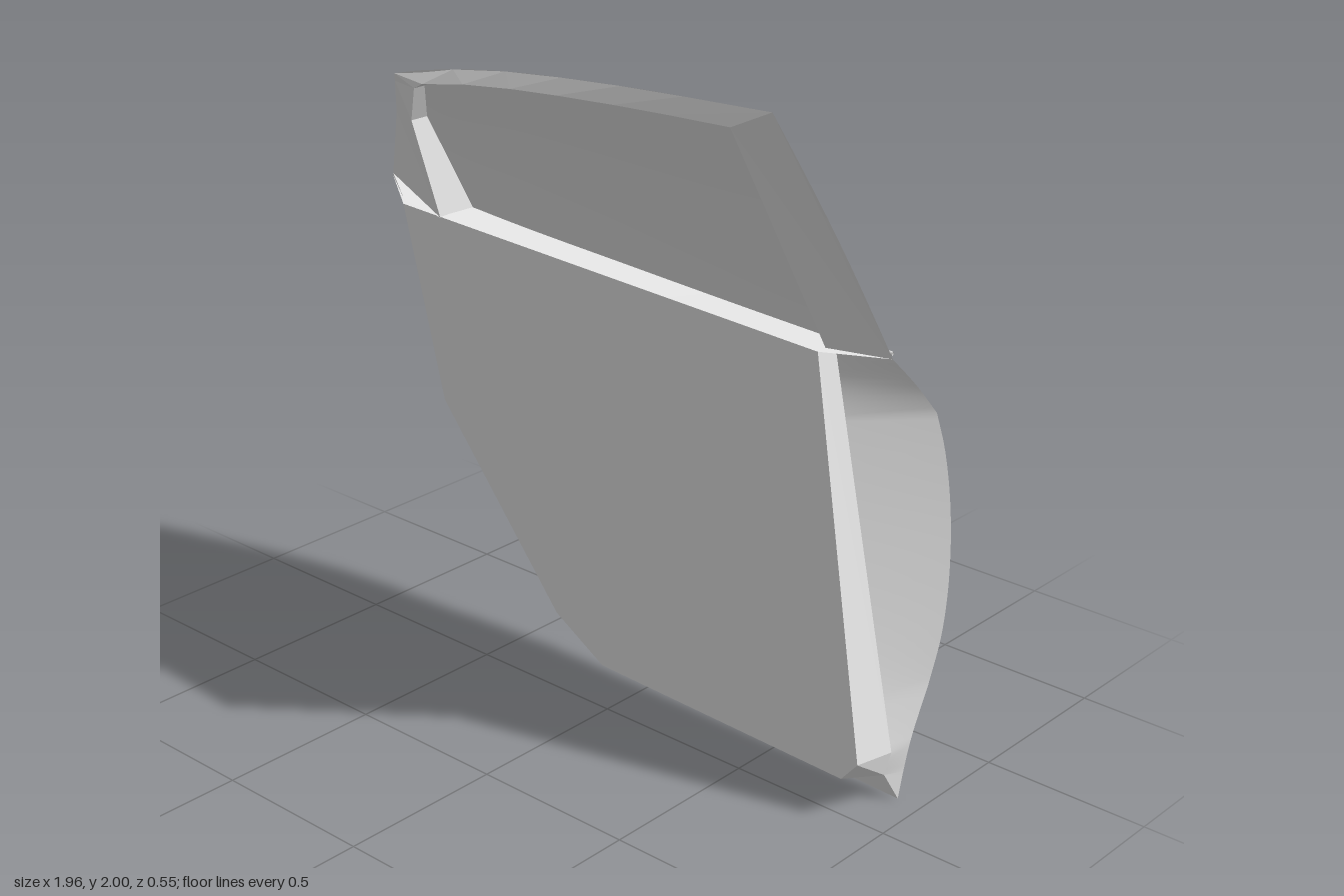
import * as THREE from 'three';

const V = (x, y, z) => new THREE.Vector3(x, y, z);
const mix = (a, b, t) => a.clone().lerp(b, t);
const range = (n, f) => Array.from({ length: n + 1 }, (_, i) => f(i / n));

// Surface through a list of equally long point rows
function loft(rows, smooth = true) {
  const n = rows[0].length, pos = [], idx = [];
  rows.forEach(r => r.forEach(p => pos.push(p.x, p.y, p.z)));
  for (let j = 0; j < rows.length - 1; j++) for (let i = 0; i < n - 1; i++) {
    const a = j * n + i, b = a + n;
    idx.push(a, a + 1, b, a + 1, b + 1, b);
  }
  let g = new THREE.BufferGeometry();
  g.setAttribute('position', new THREE.Float32BufferAttribute(pos, 3));
  g.setIndex(idx);
  if (!smooth) g = g.toNonIndexed();
  g.computeVertexNormals();
  return g;
}

// Belt line and roof line, from the rear of the door to its front
const belt = new THREE.CatmullRomCurve3([V(-0.85, 1.458, 0), V(-0.4, 1.4, -0.04),
  V(0, 1.365, -0.065), V(0.4, 1.335, -0.083), V(0.895, 1.308, -0.092)]);
const roof = new THREE.CatmullRomCurve3([V(-0.65, 1.83, 0.165), V(-0.5, 1.87, 0.192),
  V(-0.2, 1.925, 0.217), V(0.25, 1.97, 0.24), V(0.765, 2, 0.26)]);

// Panel rows: rear x, rear y, front x, front y, depth z, rear tuck
const ROWS = [
  [0.0, 0.032, 0.925, 0.0, -0.17, 0], [-0.1, 0.07, 0.928, 0.08, -0.185, 0],
  [-0.2, 0.165, 0.935, 0.18, -0.205, 0], [-0.33, 0.32, 0.95, 0.33, -0.25, 0.035],
  [-0.45, 0.465, 0.97, 0.48, -0.27, 0.032], [-0.58, 0.63, 0.978, 0.65, -0.279, 0.008],
  [-0.735, 0.85, 0.973, 0.85, -0.275, 0], [-0.86, 1.04, 0.958, 1.02, -0.257, 0],
  [-0.985, 1.26, 0.94, 1.13, -0.236, 0],
];

function skinPoint(row, u) {
  const [rx, ry, fx, fy, z, tuck] = row;
  const x = rx + (fx - rx) * u, y = ry + (fy - ry) * u;
  const fade = Math.max(0, (-0.6 - x) / 0.38);
  return V(x, y, z + 0.036 * fade * fade + tuck * Math.max(0, 1 - u * 7));
}

// Finger scoop pressed into the skin behind the handle
function scoop(p) {
  const d = ((p.x + 0.5) / 0.18) ** 2 + ((p.y - 1.18) / 0.09) ** 2;
  if (d < 1) p.z += 0.05 * (1 - d);
  return p;
}

// Smooth piece of skin between two creases; section(u) gives its upright profile
function skinPiece(section, steps) {
  const columns = range(80, u => {
    const curve = new THREE.CatmullRomCurve3(section(u));
    return range(steps, t => scoop(curve.getPoint(t)));
  });
  return columns[0].map((_, j) => columns.map(c => c[j]));
}

// Point of the slanted window surface
function win(u, v, dz = 0) {
  const p = mix(belt.getPointAt(u), roof.getPointAt(u), v);
  p.z += dz - 0.012 * Math.sin(Math.PI * v);
  return p;
}

// Point at height y on a polyline that descends
function atHeight(line, y) {
  for (let i = 0; i < line.length - 1; i++) {
    const a = line[i], b = line[i + 1];
    if (y >= b.y) return mix(a, b, THREE.MathUtils.clamp((a.y - y) / (a.y - b.y), 0, 1));
  }
  return line[line.length - 1].clone();
}

export function createModel() {
  const group = new THREE.Group();
  const paint = new THREE.MeshStandardMaterial({ color: 0xe6e6e6, side: THREE.DoubleSide });
  paint.name = 'light grey';
  const add = (name, geometry) => {
    const m = new THREE.Mesh(geometry, paint);
    m.name = name;
    group.add(m);
  };

  // Outer door skin in three pieces, with creases between them
  const sill = skinPiece(u => ROWS.slice(0, 4).map(r => skinPoint(r, u)), 15);
  const middle = skinPiece(u => ROWS.slice(3).map(r => skinPoint(r, u)), 30);
  const shoulder = skinPiece(u => {
    const a = skinPoint(ROWS[8], u), b = belt.getPointAt(u), m = mix(a, b, 0.5);
    m.z -= 0.007;
    return [a, m, b];
  }, 10);
  add('sillSkin', loft(sill));
  add('middleSkin', loft(middle));
  add('shoulderSkin', loft(shoulder));
  const skin = [...sill, ...middle.slice(1), ...shoulder.slice(1)];

  // Inner panel and the foot of its side walls
  const inner = [V(-0.69, 1.43, 0.11), V(-0.55, 0.86, 0.1), V(-0.13, 0.3, 0.075),
    V(0.04, 0.185, 0.065), V(0.865, 0.12, 0.015), V(0.915, 0.18, 0.012), V(0.74, 1.32, 0.018)];
  const foot = [V(-0.7, 1.428, 0.02), V(-0.57, 0.85, -0.1), V(-0.18, 0.245, -0.12),
    V(0, 0.12, -0.13), V(0.9, 0.08, -0.135), V(0.917, 0.155, -0.14), V(0.745, 1.315, -0.05)];
  const centre = V(0.15, 0.75, 0.056);
  add('innerPanel', loft([[...inner, inner[0]], Array(8).fill(centre)]));
  add('innerWalls', loft([inner, foot], false));

  // Flange from the walls out to the edge of the skin
  const last = skin[0].length - 1;
  const rear = skin.map(r => r[0]).reverse(), front = skin.map(r => r[last]);
  const frontLine = [foot[6], foot[5], foot[4]];
  add('rearFlange', loft([rear, rear.map(p => atHeight(foot.slice(0, 4), p.y))]));
  add('bottomFlange', loft([skin[0], skin[0].map((p, i) => mix(foot[3], foot[4], i / last))]));
  add('frontFlange', loft([front, front.map(p => atHeight(frontLine, p.y))]));

  // Ledge below the window
  add('beltLedge', loft([range(24, u => belt.getPointAt(u)), range(24, u => mix(inner[0], inner[6], u))]));

  // Window glass with outer frame surface
  add('window', loft(range(12, v => range(40, u => win(u, v)))));

  // Inner window frame: outer edge u, v then inner edge u, v and its thickness
  const rim = [[0, 0, 0.09, 0, 0.115], [0, 0.02, 0.175, 0, 0.13], [0, 0.63, 0.09, 0.63, 0.06],
    [0, 0.93, 0.1, 0.88, 0.04], [0, 1, 0.13, 0.915, 0.042], [0.2, 1, 0.25, 0.925, 0.042],
    [0.35, 1, 0.38, 0.925, 0.042], [0.5, 1, 0.5, 0.925, 0.042], [0.65, 1, 0.64, 0.925, 0.042],
    [0.8, 1, 0.77, 0.925, 0.042], [1, 1, 0.91, 0.925, 0.042], [1, 0, 0.91, 0, 0.07]];
  const lip = rim.map(r => win(r[2], r[3], r[4]));
  add('windowFrame', loft([rim.map(r => win(r[0], r[1])), lip], false));
  add('windowFrameStep', loft([lip, rim.map(r => win(r[2], r[3]))].map(r => r.slice(1)), false));

  // Thin trim on the outside of the window
  const strip = (name, path) => add(name, new THREE.TubeGeometry(
    new THREE.CatmullRomCurve3(path), 40, 0.006, 4));
  strip('beltMoulding', range(12, u => win(u, 0.02, -0.009)));
  strip('beltSeal', range(12, u => win(0.01 + u * 0.98, 0.055, -0.008)));
  strip('frontWindowTrim', range(8, v => win(0.908, 0.06 + v * 0.9, -0.008)));
  strip('frontWindowSeal', range(8, v => win(0.922, 0.06 + v * 0.9, -0.008)));
  strip('topWindowTrim', range(12, u => win(0.03 + u * 0.95, 0.96, -0.008)));

  // Bowed door handle, slimmer at the ends
  const g = new THREE.BoxGeometry(0.54, 0.062, 0.03, 24, 2, 1);
  const p = g.attributes.position;
  for (let i = 0; i < p.count; i++) {
    const x = p.getX(i), e = (x / 0.27) ** 2, taper = 1 - 0.3 * e * e;
    p.setXYZ(i, x - 0.515, 1.165 - x * 0.1 + p.getY(i) * taper, -0.26 + 0.03 * e + p.getZ(i) * taper);
  }
  g.computeVertexNormals();
  add('doorHandle', g);

  return group;
}
